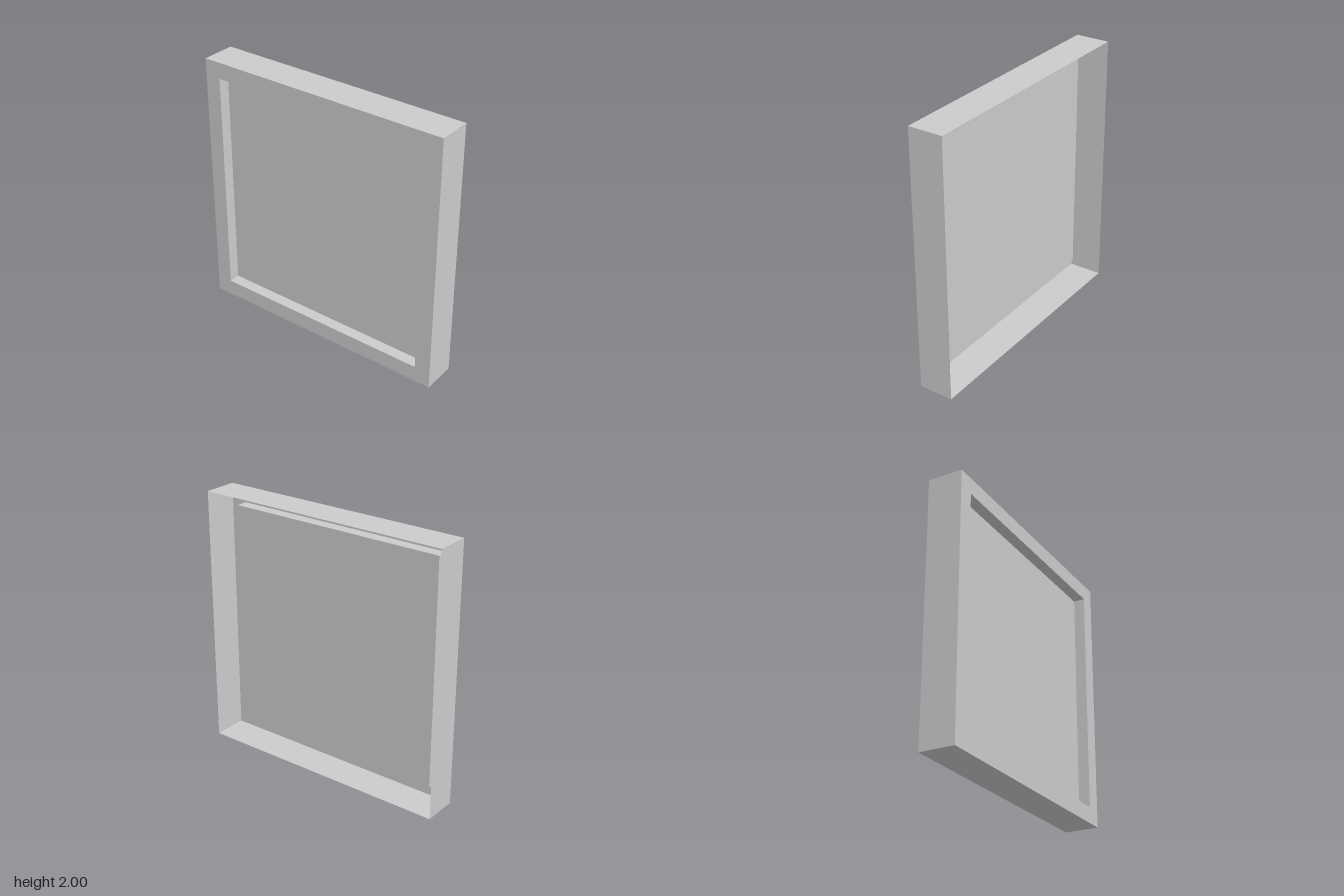
import * as THREE from 'three';

const FRONT = 0.1325;            // half of the overall depth
const PANEL_Z = FRONT - 0.088;   // plane of the recessed panel
const OPENING = 0.875;           // half width of the front opening

export function createModel() {
  const group = new THREE.Group();
  group.name = 'framedPanel';
  const material = new THREE.MeshStandardMaterial({
    color: 0xcccccc, flatShading: true, side: THREE.DoubleSide,
  });

  const add = (name, geometry) => {
    const mesh = new THREE.Mesh(geometry, material);
    mesh.name = name;
    mesh.position.y = 1;
    group.add(mesh);
    return mesh;
  };

  // Square ring swept from a profile of [half width, z]
  const squareRing = (profile) => {
    const points = profile.map(([half, z]) => new THREE.Vector2(half * Math.SQRT2, z));
    return new THREE.LatheGeometry(points, 4, Math.PI / 4).rotateX(Math.PI / 2);
  };

  // Thin outer walls, open at the back
  add('outerWalls', squareRing([[1, -FRONT], [1, FRONT]]));

  // Flat border around the opening
  add('frontBorder', squareRing([[1, FRONT], [OPENING, FRONT]]));

  // Short walls stepping back to the panel
  add('recessWalls', squareRing([[OPENING, FRONT], [OPENING, PANEL_Z]]));

  // Recessed panel
  add('panel', new THREE.PlaneGeometry(2 * OPENING, 2 * OPENING)).position.z = PANEL_Z;

  return group;
}
